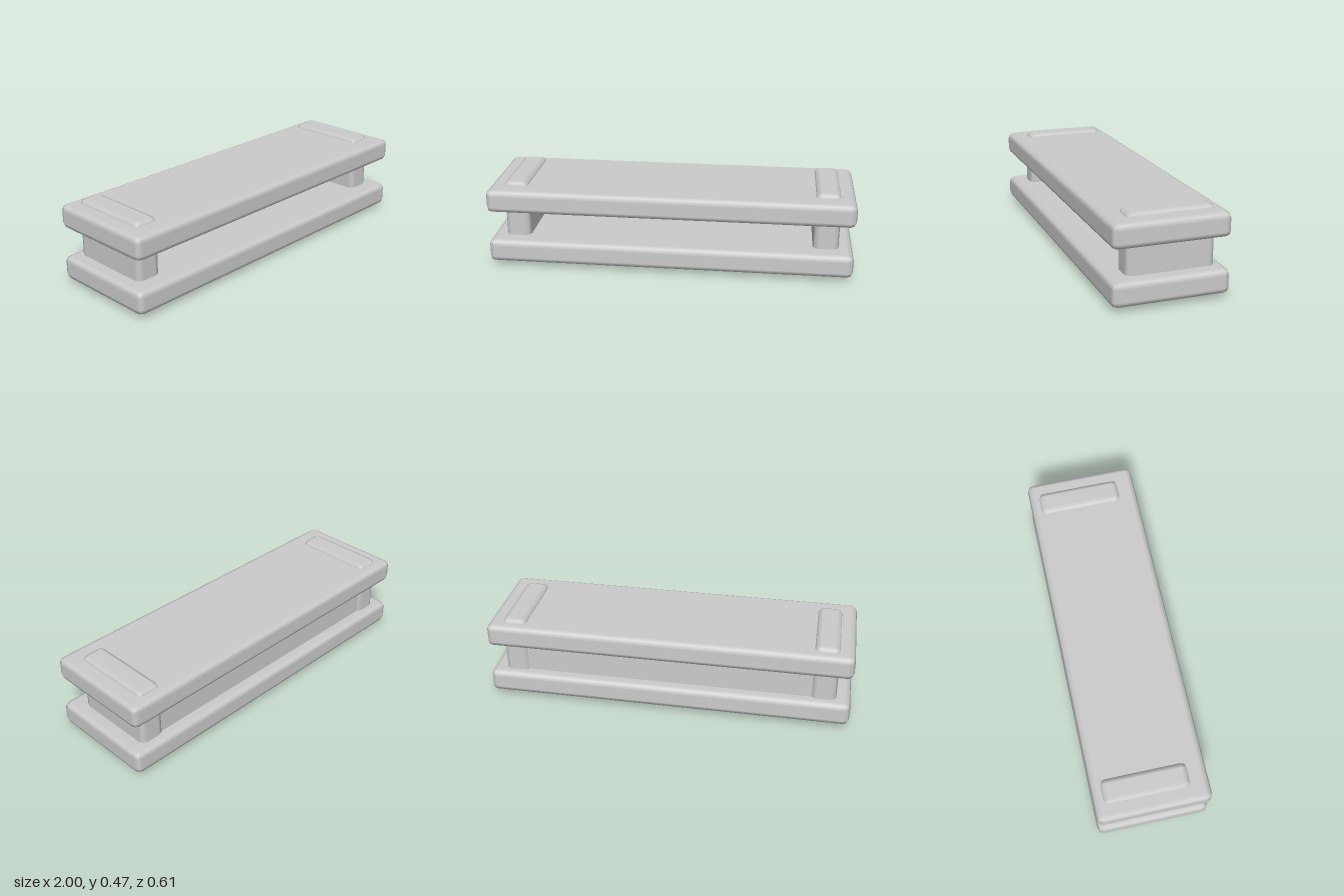
import * as THREE from 'three';
import { RoundedBoxGeometry } from 'three/addons/geometries/RoundedBoxGeometry.js';

export function createModel() {
  const model = new THREE.Group();
  model.name = 'twoTierShelf';
  const grey = new THREE.MeshStandardMaterial({ color: 0xcccccc });
  grey.name = 'light grey';

  const add = (name, geometry, x, y, z) => {
    const mesh = new THREE.Mesh(geometry, grey);
    mesh.name = name;
    mesh.position.set(x, y, z);
    model.add(mesh);
  };

  // Two identical boards with softly bevelled edges
  const board = new RoundedBoxGeometry(2, 0.13, 0.612, 1, 0.033);
  add('lowerBoard', board, 0, 0.089, 0);
  add('upperBoard', board, 0, 0.38, 0);

  // End posts pass through both boards, set slightly towards the back
  const post = new RoundedBoxGeometry(0.14, 0.467, 0.466, 1, 0.033);
  add('leftPost', post, 0.852, 0.2335, -0.023);
  add('rightPost', post, -0.852, 0.2335, -0.023);

  // Thin back panel between the posts
  add('backPanel', new THREE.BoxGeometry(1.66, 0.23, 0.03), 0, 0.2345, -0.227);

  return model;
}
